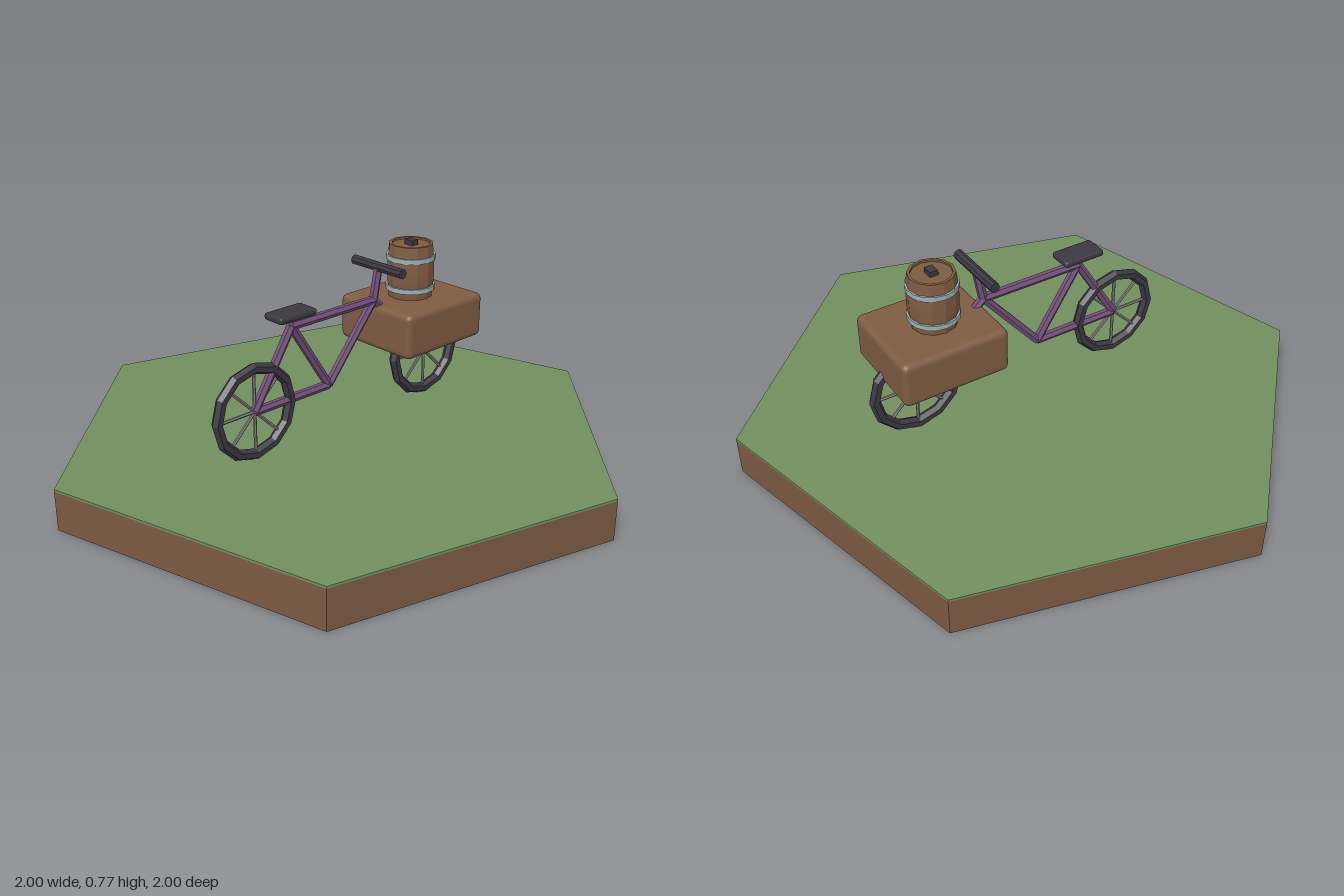
import * as THREE from 'three';
import { RoundedBoxGeometry } from 'three/addons/geometries/RoundedBoxGeometry.js';

function paint(name, color) {
  const m = new THREE.MeshStandardMaterial({ color, flatShading: true });
  m.name = name;
  return m;
}

export function createModel() {
  const mats = {
    grass: paint('grass green', 0x728f5f),
    soil: paint('soil brown', 0x7b5a43),
    wood: paint('wood brown', 0x7f5c43),
    frame: paint('frame purple', 0x74507a),
    dark: paint('dark rubber', 0x3b3842),
    spoke: paint('spoke grey', 0x85858a),
    hoop: paint('hoop steel', 0x9db0b3),
  };
  const model = new THREE.Group();
  model.name = 'cargoBicycleOnTile';

  const add = (name, geometry, mat, x = 0, y = 0, z = 0, parent = model) => {
    const mesh = new THREE.Mesh(geometry, mat);
    mesh.name = name;
    mesh.position.set(x, y, z);
    parent.add(mesh);
    return mesh;
  };

  // Straight bar between two points in the bicycle's plane
  const bar = (name, a, b, r, mat, parent) => {
    const p = new THREE.Vector3(a[0], a[1], 0);
    const q = new THREE.Vector3(b[0], b[1], 0);
    const dir = q.clone().sub(p);
    const mid = p.clone().add(q).multiplyScalar(0.5);
    const mesh = add(name, new THREE.CylinderGeometry(r, r, dir.length(), 6), mat, mid.x, mid.y, 0, parent);
    mesh.quaternion.setFromUnitVectors(new THREE.Vector3(0, 1, 0), dir.normalize());
    return mesh;
  };

  // Hexagonal ground tile
  const hex = (h) => new THREE.CylinderGeometry(1.035, 1.035, h, 6, 1, false, Math.PI / 12);
  add('soil', hex(0.142), mats.soil, 0, 0.071);
  add('grass', hex(0.008), mats.grass, 0, 0.146);

  // Bicycle
  const bike = new THREE.Group();
  bike.name = 'bicycle';
  model.add(bike);
  const rearHub = [-0.385, 0.32], frontHub = [0.435, 0.32];
  const crank = [-0.052, 0.32], seatTop = [-0.22, 0.582];
  const head = [0.165, 0.582], stemTop = [0.188, 0.7];

  // Wheels with four spokes across each
  for (const [name, hub] of [['rearWheel', rearHub], ['frontWheel', frontHub]]) {
    const wheel = new THREE.Group();
    wheel.name = name;
    wheel.position.set(hub[0], hub[1], 0);
    bike.add(wheel);
    add('tyre', new THREE.TorusGeometry(0.156, 0.02, 6, 12), mats.dark, 0, 0, 0, wheel);
    for (let i = 0; i < 4; i++) {
      const c = Math.cos(i * Math.PI / 4) * 0.148, s = Math.sin(i * Math.PI / 4) * 0.148;
      bar('spoke', [-c, -s], [c, s], 0.006, mats.spoke, wheel);
    }
  }

  // Frame tubes
  const tubes = [
    ['chainStay', rearHub, crank], ['seatStay', rearHub, seatTop],
    ['seatTube', crank, seatTop], ['topTube', seatTop, head],
    ['downTube', crank, head], ['fork', head, frontHub], ['stem', head, stemTop],
  ];
  for (const [name, a, b] of tubes) bar(name, a, b, 0.016, mats.frame, bike);

  // Saddle and handlebar
  add('seat', new RoundedBoxGeometry(0.16, 0.025, 0.09, 2, 0.01), mats.dark, -0.22, 0.625, 0, bike);
  const handlebar = add('handlebar', new THREE.CylinderGeometry(0.018, 0.018, 0.24, 8), mats.dark, stemTop[0], 0.7, 0, bike);
  handlebar.rotation.x = Math.PI / 2;

  // Front cargo crate
  add('crate', new RoundedBoxGeometry(0.39, 0.166, 0.35, 3, 0.022), mats.wood, 0.363, 0.478);

  // Barrel with a recessed lid, two hoops and a bung
  const barrel = new THREE.Group();
  barrel.name = 'barrel';
  barrel.position.set(0.353, 0.561, 0);
  model.add(barrel);
  const profile = [[0, 0], [0.08, 0], [0.086, 0.06], [0.087, 0.1], [0.086, 0.14], [0.08, 0.195],
    [0.07, 0.195], [0.07, 0.188], [0, 0.188]].map(([x, y]) => new THREE.Vector2(x, y));
  add('staves', new THREE.LatheGeometry(profile, 12), mats.wood, 0, 0, 0, barrel);
  for (const y of [0.034, 0.146]) {
    add('hoop', new THREE.CylinderGeometry(0.09, 0.09, 0.018, 16), mats.hoop, 0, y, 0, barrel);
  }
  add('bung', new THREE.BoxGeometry(0.03, 0.02, 0.04), mats.dark, 0, 0.196, 0, barrel);

  return model;
}
